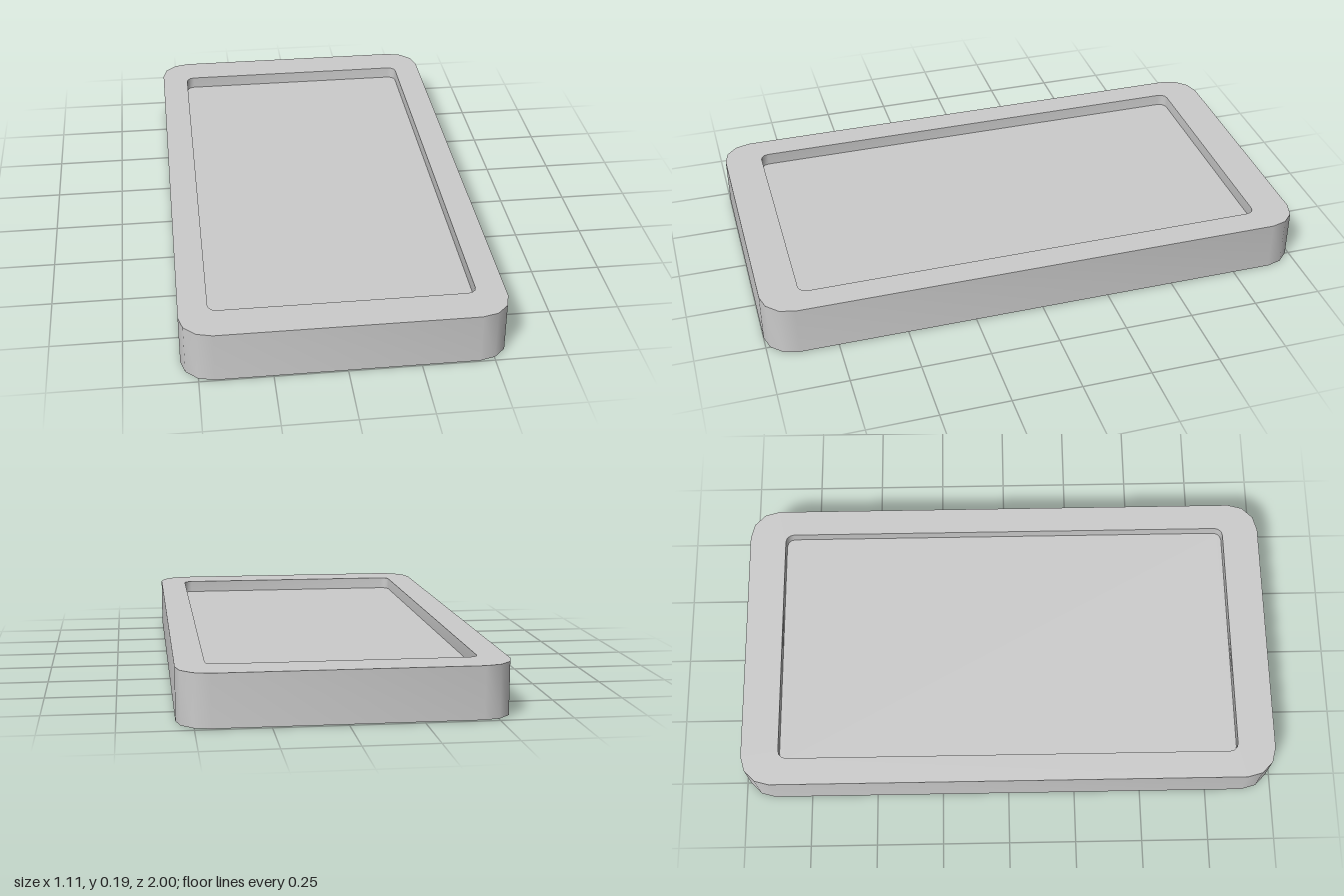
import * as THREE from 'three';
import { toCreasedNormals } from 'three/addons/utils/BufferGeometryUtils.js';

const material = new THREE.MeshStandardMaterial({ color: 0xcccccc });

// Counter-clockwise rounded rectangle; shape coordinates are model x and z
function outline(w, d, r, segments, cx = 0, cz = 0) {
  const points = [];
  const corners = [[1, 1], [-1, 1], [-1, -1], [1, -1]];
  corners.forEach(([sx, sz], k) => {
    for (let i = 0; i <= segments; i++) {
      const a = (k + (segments ? i / segments : 0)) * Math.PI / 2;
      points.push(new THREE.Vector2(
        cx + sx * (w / 2 - r) + r * Math.cos(a),
        cz + sz * (d / 2 - r) + r * Math.sin(a)));
    }
  });
  return points;
}

// Upright band along an outline, facing outward or inward
function wall(points, y0, y1, inward = false) {
  const pos = [];
  points.forEach((p, i) => {
    const q = points[(i + 1) % points.length];
    const a = [p.x, y0, p.y], b = [q.x, y0, q.y], c = [q.x, y1, q.y], d = [p.x, y1, p.y];
    pos.push(...(inward ? [a, b, c, a, c, d] : [a, c, b, a, d, c]).flat());
  });
  const geo = new THREE.BufferGeometry();
  geo.setAttribute('position', new THREE.Float32BufferAttribute(pos, 3));
  return toCreasedNormals(geo, 0.7);
}

// Flat face, with an optional opening (upward faces are symmetric in z)
function cap(points, y, up, hole) {
  const shape = new THREE.Shape(points);
  if (hole) shape.holes.push(new THREE.Path(hole));
  return new THREE.ShapeGeometry(shape).rotateX(up ? -Math.PI / 2 : Math.PI / 2).translate(0, y, 0);
}

export function createModel() {
  const model = new THREE.Group();
  const add = (name, geometry) => {
    const mesh = new THREE.Mesh(geometry, material);
    mesh.name = name;
    model.add(mesh);
    return mesh;
  };

  const bottom = 0.003, top = 0.185;
  const screenY = top - 0.045, recessY = bottom + 0.035;
  const lensX = 0.255, lensZ = -0.61;

  const body = outline(1.114, 2, 0.11, 3);
  const screen = outline(0.912, 1.722, 0.03, 3);
  const recess = outline(0.254, 0.34, 0, 0, lensX, lensZ);

  // Case
  add('bodySides', wall(body, bottom, top));
  add('frontRim', cap(body, top, true, screen));
  add('backPanel', cap(body, bottom, false, recess));

  // Sunken screen
  add('screenWalls', wall(screen, screenY, top, true));
  add('screen', cap(screen, screenY, true));

  // Camera recess in the back, with a lens standing in it
  add('cameraRecessWalls', wall(recess, bottom, recessY, true));
  add('cameraRecessFloor', cap(recess, recessY, false));
  add('cameraLens', new THREE.CylinderGeometry(0.095, 0.095, recessY, 32))
    .position.set(lensX, recessY / 2, lensZ);

  return model;
}
